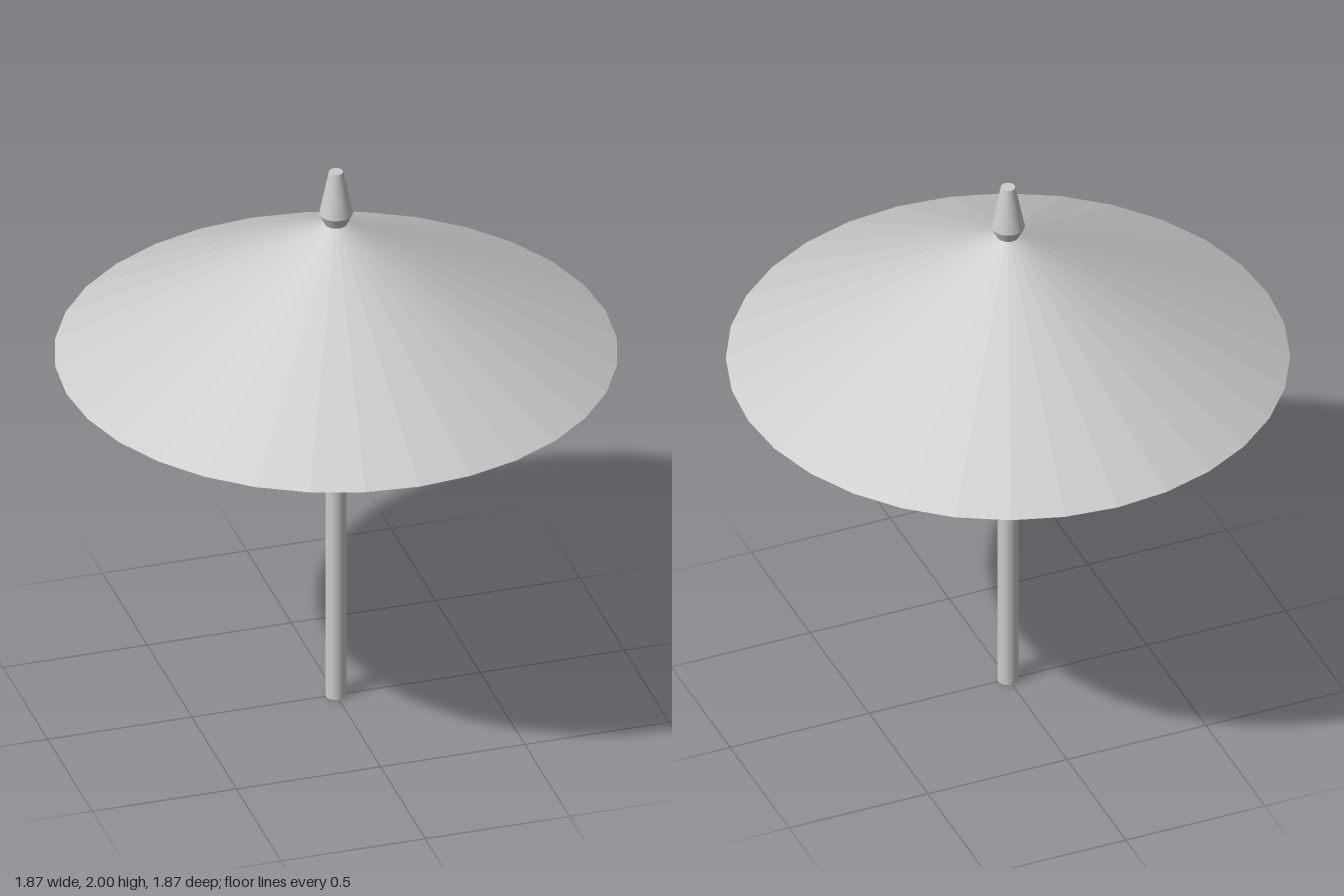
import * as THREE from 'three';

const SIDES = 32;

export function createModel() {
  const model = new THREE.Group();
  const solid = new THREE.MeshStandardMaterial({ color: 0xcccccc, flatShading: true });
  const cloth = new THREE.MeshStandardMaterial({ color: 0xcccccc, flatShading: true, side: THREE.DoubleSide });

  // Adds a round part standing between two heights
  function addRound(name, rBottom, rTop, y0, y1, material = solid, open = false) {
    const geometry = new THREE.CylinderGeometry(rTop, rBottom, y1 - y0, SIDES, 1, open);
    const mesh = new THREE.Mesh(geometry, material);
    mesh.name = name;
    mesh.position.y = (y0 + y1) / 2;
    model.add(mesh);
  }

  // Straight pole, running up to the finial
  addRound('pole', 0.035, 0.035, 0, 1.803);

  // Thin open canopy, closing around the top of the pole
  addRound('canopy', 0.935, 0.035, 1.31, 1.803, cloth, true);

  // Finial: short flare, then a long taper to a flat tip
  const profile = [[0, 1.803], [0.037, 1.803], [0.056, 1.842], [0.024, 2], [0, 2]];
  const finial = new THREE.Mesh(
    new THREE.LatheGeometry(profile.map(([r, y]) => new THREE.Vector2(r, y)), SIDES),
    solid
  );
  finial.name = 'finial';
  model.add(finial);

  return model;
}
